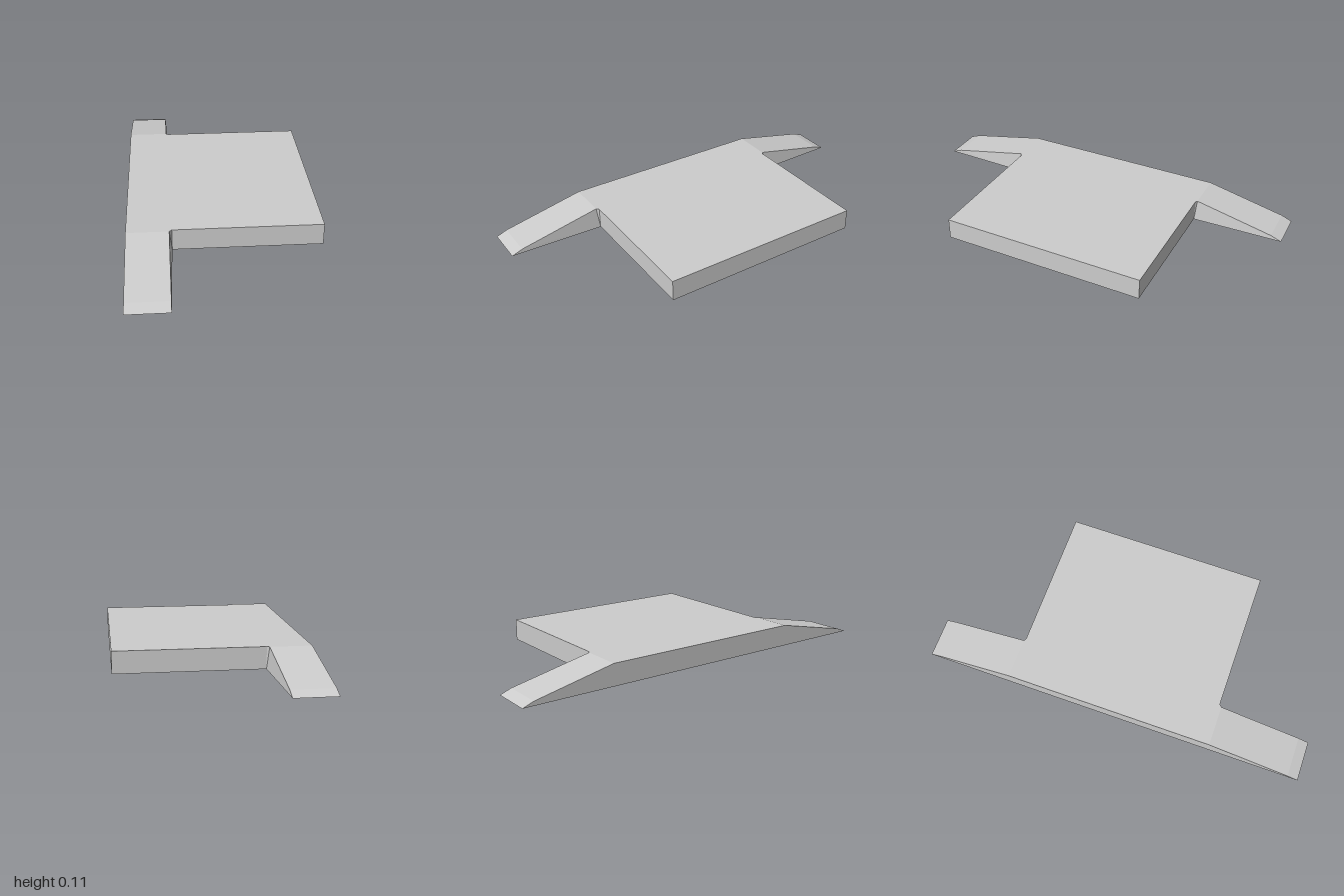
import * as THREE from 'three';

// Outer side, inner side of the ramps, deck edge beside the ramps, far deck side
const X0 = -0.47, X1 = -0.267, X2 = -0.255, X3 = 0.465;
const H = 0.108;

export function createModel() {
  const group = new THREE.Group();
  group.name = 'rampPlatform';
  const grey = new THREE.MeshStandardMaterial({ color: 0xcccccc, side: THREE.DoubleSide });
  grey.name = 'plain grey';

  // Flat-shaded sheet from convex outlines, each fanned from its first corner
  function sheet(name, outlines, flip = false) {
    const pos = [];
    for (const outline of outlines) {
      const p = flip ? [...outline].reverse() : outline;
      for (let i = 1; i < p.length - 1; i++) pos.push(...p[0], ...p[i], ...p[i + 1]);
    }
    const geo = new THREE.BufferGeometry();
    geo.setAttribute('position', new THREE.Float32BufferAttribute(pos, 3));
    geo.computeVertexNormals();
    const mesh = new THREE.Mesh(geo, grey);
    mesh.name = name;
    group.add(mesh);
  }

  const zf = 0.516, zb = -0.535; // deck ends
  const cf = zf + 0.012, cb = zb - 0.007; // creases where the ramps start

  // Deck top, hollow beneath
  sheet('deckTop', [
    [[X2, H, zf], [X3, H, zf], [X3, H, zb], [X2, H, zb], [X1, H, cb], [X0, H, cb], [X0, H, cf], [X1, H, cf]],
  ]);
  sheet('deckSide', [[[X3, 0, zf], [X3, 0, zb], [X3, H, zb], [X3, H, zf]]]);

  // Long side wall shared by the deck and both ramps
  sheet('longSide', [
    [[X0, 0, -1], [X0, 0, 1], [X0, 0.021, 0.945], [X0, H, cf], [X0, H, cb], [X0, 0.021, -0.945]],
  ]);

  // End wall, corner chamfer and ramp at each end
  for (const [end, s, z, c] of [['front', 1, zf, cf], ['back', -1, zb, cb]]) {
    const deckCorner = [X2, H, z], foot = [X2, 0, z];
    const top = [X1, H, c], knee = [X1, 0.021, s * 0.945], tip = [X1, 0, s];
    const outTop = [X0, H, c], outKnee = [X0, 0.021, s * 0.945], outTip = [X0, 0, s];
    const flip = s < 0;
    sheet(end + 'EndWall', [[foot, [X3, 0, z], [X3, H, z], deckCorner]], flip);
    sheet(end + 'CornerChamfer', [[deckCorner, top, foot]], flip);
    sheet(end + 'RampSlope', [[outTop, outKnee, knee, top], [outKnee, outTip, tip, knee]], flip);
    sheet(end + 'RampSide', [[foot, top, knee, tip]], flip);
  }
  return group;
}
